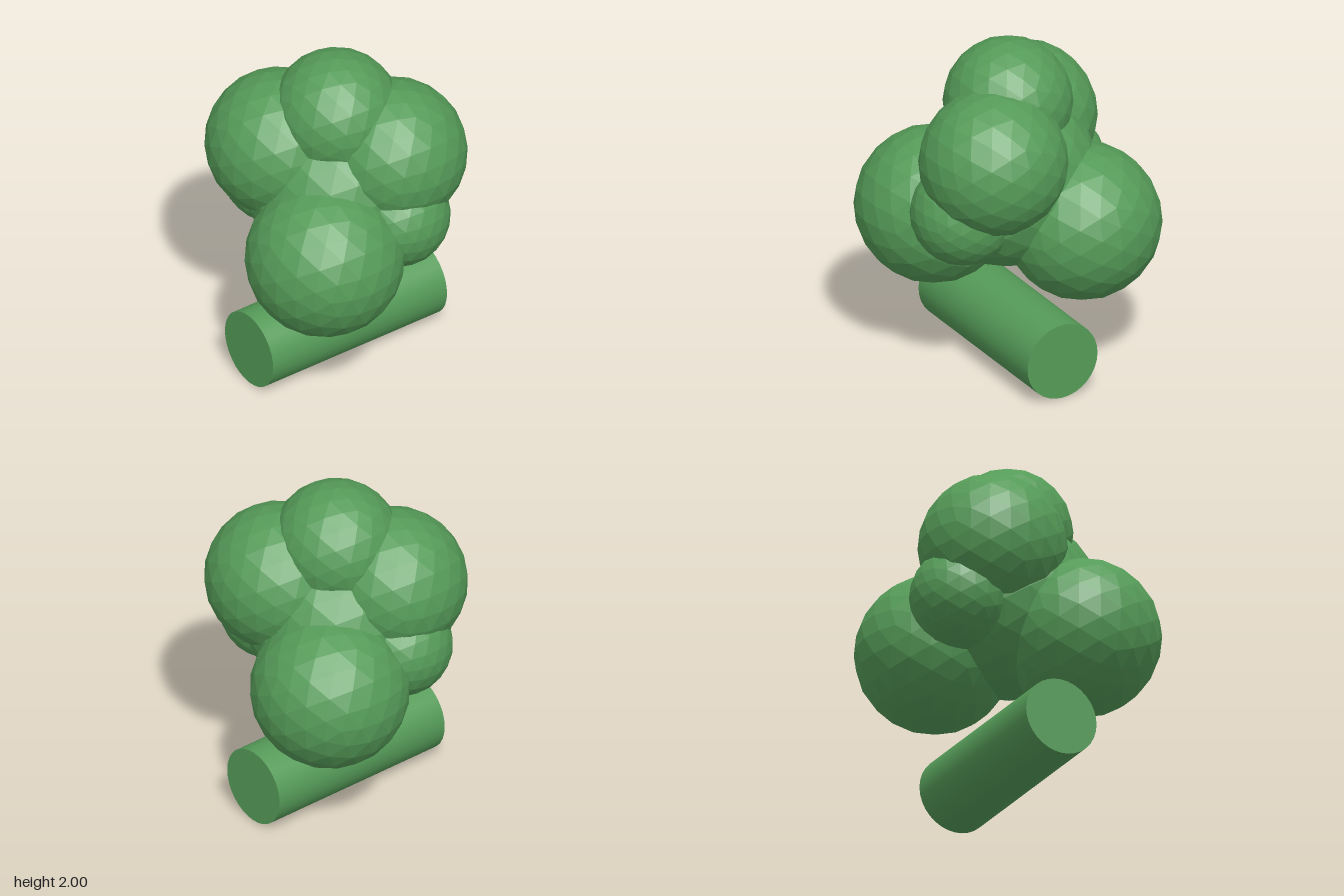
import * as THREE from 'three';

const material = new THREE.MeshStandardMaterial({ color: 0x559b58, flatShading: true });
const trunkMaterial = new THREE.MeshStandardMaterial({ color: 0x559b58 });

// Faceted ball of foliage
function ball(name, radius, x, y, z) {
  const mesh = new THREE.Mesh(new THREE.IcosahedronGeometry(radius, 3), material);
  mesh.name = name;
  mesh.position.set(x, y, z);
  return mesh;
}

export function createModel() {
  const model = new THREE.Group();
  model.name = 'tree';

  // Trunk lying along z
  const trunk = new THREE.Mesh(new THREE.CylinderGeometry(0.23, 0.23, 1.23, 32), trunkMaterial);
  trunk.name = 'trunk';
  trunk.rotation.x = Math.PI / 2;
  trunk.position.y = 0.235;
  model.add(trunk);

  // Foliage: core and crown on the axis, the rest in pairs turned half way round
  const foliage = new THREE.Group();
  foliage.name = 'foliage';
  foliage.add(ball('foliageCore', 0.525, 0, 1.155, 0));
  foliage.add(ball('foliageCrown', 0.372, 0, 1.628, 0));
  for (const [side, s] of [['Front', 1], ['Back', -1]]) {
    foliage.add(ball('lowerFoliage' + side, 0.457, 0.308 * s, 0.922, 0.308 * s));
    foliage.add(ball('upperFoliage' + side, 0.428, -0.23 * s, 1.39, 0.23 * s));
    foliage.add(ball('smallFoliage' + side, 0.305, -0.382 * s, 1.075, 0.15 * s));
  }
  model.add(foliage);
  return model;
}
